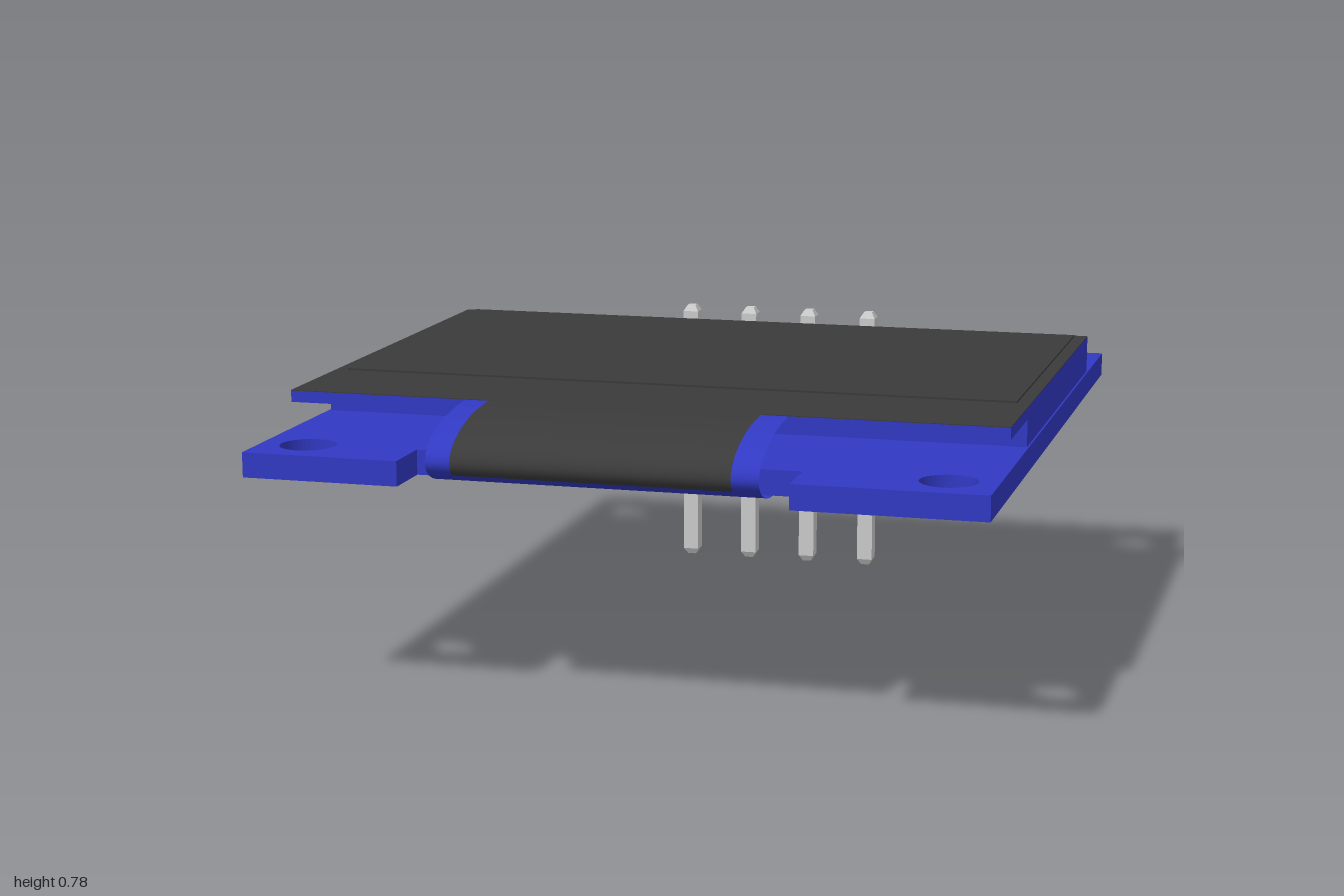
import * as THREE from 'three';

const blue = new THREE.MeshStandardMaterial({ color: 0x3139c3 });
const black = new THREE.MeshStandardMaterial({ color: 0x3a3a3a });
const grey = new THREE.MeshStandardMaterial({ color: 0xcccccc });
const blueSheet = new THREE.MeshStandardMaterial({ color: 0x3139c3, side: THREE.DoubleSide });
const blackSheet = new THREE.MeshStandardMaterial({ color: 0x3a3a3a, side: THREE.DoubleSide });

const BOARD_Y = 0.59, BOARD_TOP = 0.655, PIN_Z = -0.83, PITCH = 0.183;
const pinXs = [-1.5, -0.5, 0.5, 1.5].map((i) => i * PITCH - 0.002);

function createMesh(name, geometry, material) {
  const mesh = new THREE.Mesh(geometry, material);
  mesh.name = name;
  return mesh;
}

// Box given by its limits on each axis
function slab(name, [x0, x1], [y0, y1], [z0, z1], material) {
  const g = new THREE.BoxGeometry(x1 - x0, y1 - y0, z1 - z0);
  g.translate((x0 + x1) / 2, (y0 + y1) / 2, (z0 + z1) / 2);
  return createMesh(name, g, material);
}

// Board with a recess for the ribbon, four mounting holes and four pin holes
function circuitBoard() {
  const shape = new THREE.Shape([
    [-0.955, -1], [-0.54, -1], [-0.54, -0.855], [0.465, -0.855],
    [0.465, -1], [0.955, -1], [0.955, 1], [-0.955, 1],
  ].map(([x, y]) => new THREE.Vector2(x, y)));
  const hole = (x, z, r) => {
    const path = new THREE.Path();
    path.absarc(x, -z, r, 0, Math.PI * 2, true);
    shape.holes.push(path);
  };
  for (const x of [-0.83, 0.83]) {
    hole(x, -0.825, 0.073);
    hole(x, 0.87, 0.073);
  }
  pinXs.forEach((x) => hole(x, PIN_Z, 0.036));
  const g = new THREE.ExtrudeGeometry(shape, { depth: BOARD_TOP - BOARD_Y, bevelEnabled: false, curveSegments: 20 });
  g.rotateX(-Math.PI / 2).translate(0, BOARD_Y, 0);
  return createMesh('circuitBoard', g, blue);
}

// Thin sheet that folds from the glass over the front edge and under the board
function ribbon(name, x0, x1, endAngle, lift, material) {
  const g = new THREE.PlaneGeometry(x1 - x0, 1, 1, 36);
  const p = g.attributes.position;
  for (let i = 0; i < p.count; i++) {
    const a = (0.5 - p.getY(i)) * endAngle;
    const upper = a < Math.PI / 2;
    const depth = (upper ? 0.31 : 0.145) + lift;
    const height = (upper ? 0.102 : 0.065) + lift;
    p.setXYZ(i, p.getX(i) + (x0 + x1) / 2, BOARD_TOP + height * Math.cos(a), 0.688 + depth * Math.sin(a)
      + (upper ? 0 : 0.165));
  }
  g.computeVertexNormals();
  return createMesh(name, g, material);
}

// Square pin with tapered ends
function pin(x) {
  const w = 0.023, t = 0.012;
  const profile = [[0, 0], [t, 0], [w, 0.018], [w, 0.762], [t, 0.78], [0, 0.78]]
    .map(([r, y]) => new THREE.Vector2(r * Math.SQRT2, y));
  const g = new THREE.LatheGeometry(profile, 4, Math.PI / 4).toNonIndexed();
  g.computeVertexNormals();
  g.translate(x, 0, PIN_Z);
  return createMesh('pin', g, grey);
}

// Header block with a channel across its top
function headerBlock(x) {
  const h = 0.074, c = 0.039;
  const shape = new THREE.Shape([
    [-h, 0.425], [h, 0.425], [h, BOARD_Y], [c, BOARD_Y],
    [c, 0.562], [-c, 0.562], [-c, BOARD_Y], [-h, BOARD_Y],
  ].map(([px, py]) => new THREE.Vector2(px, py)));
  const g = new THREE.ExtrudeGeometry(shape, { depth: 0.165, bevelEnabled: false });
  g.translate(x, 0, PIN_Z - 0.0825);
  return createMesh('headerBlock', g, blue);
}

export function createModel() {
  const model = new THREE.Group();
  model.name = 'displayModule';
  model.add(circuitBoard());

  // Display: thick rear glass, overhanging upper glass, dark screen films
  const display = new THREE.Group();
  display.name = 'display';
  display.add(
    slab('lowerGlass', [-0.95, 0.95], [BOARD_TOP, 0.727], [-0.69, 0.425], blue),
    slab('upperGlass', [-0.95, 0.95], [0.727, 0.757], [-0.69, 0.69], blue),
    slab('screenFace', [-0.95, 0.95], [0.757, 0.759], [-0.685, 0.69], black),
    slab('screenFilm', [-0.915, 0.915], [0.759, 0.764], [-0.665, 0.38], black),
  );
  model.add(display);

  // Folded ribbon cable with a dark centre band
  model.add(
    ribbon('ribbonCable', -0.465, 0.39, Math.PI, 0, blueSheet),
    ribbon('ribbonCover', -0.4, 0.32, Math.PI * 0.66, 0.002, blackSheet),
  );

  // Pin header
  const header = new THREE.Group();
  header.name = 'pinHeader';
  pinXs.forEach((x, i) => {
    header.add(headerBlock(x), pin(x));
    if (i < 3) {
      const mid = x + PITCH / 2;
      header.add(slab('headerBridge', [mid - 0.02, mid + 0.02], [0.425, BOARD_Y], [PIN_Z - 0.055, PIN_Z + 0.055], blue));
    }
  });
  model.add(header);
  return model;
}
